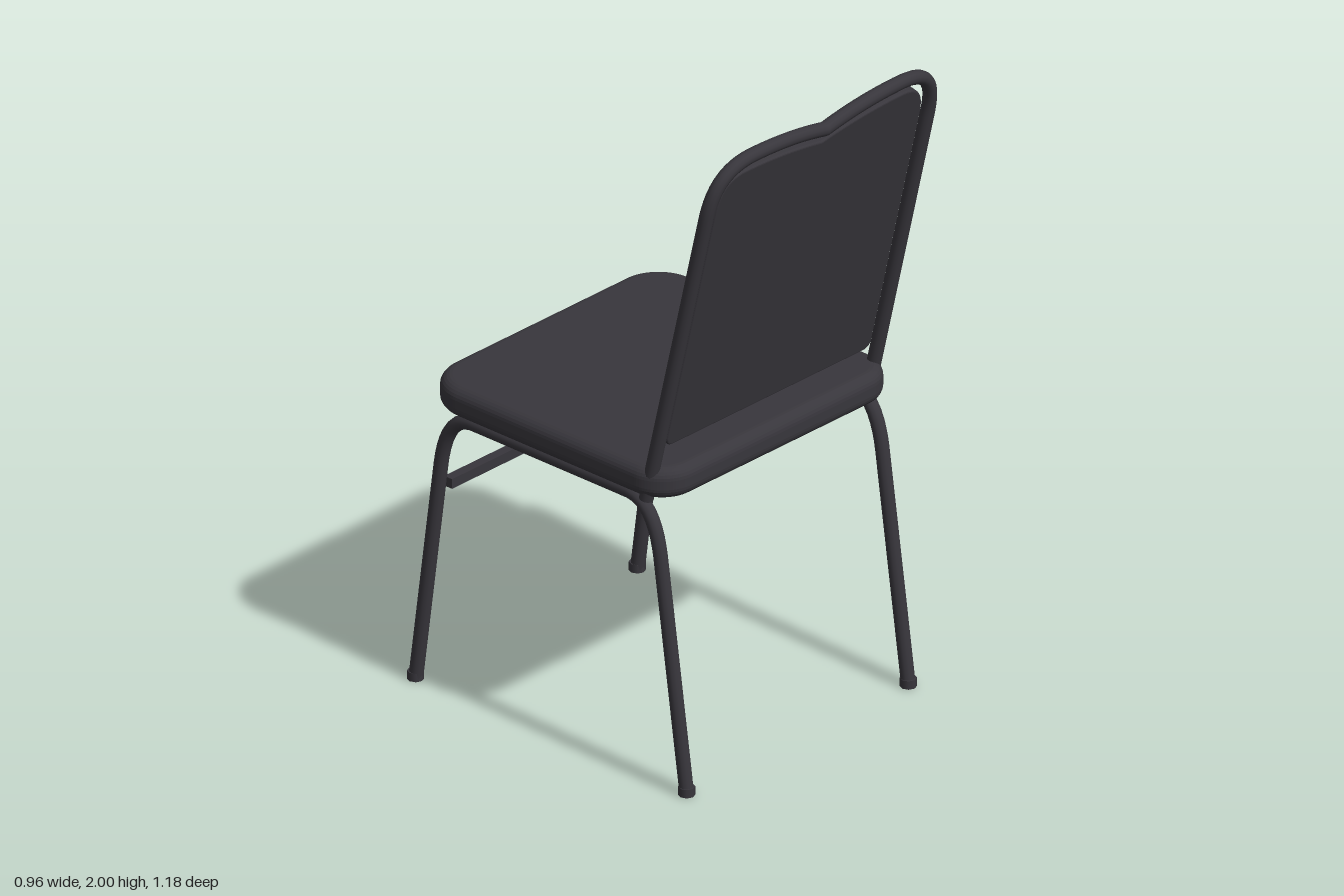
import * as THREE from 'three';

const charcoal = new THREE.MeshStandardMaterial({ color: 0x38363c });
charcoal.name = 'charcoal';

const RADIUS = 0.021;
const v = (x, y, z) => new THREE.Vector3(x, y, z);

function add(parent, name, geometry) {
  const mesh = new THREE.Mesh(geometry, charcoal);
  mesh.name = name;
  parent.add(mesh);
  return mesh;
}

// Tube through straight runs joined by rounded bends
function pipe(curves, segments) {
  const path = new THREE.CurvePath();
  curves.forEach((c) => path.add(c));
  return new THREE.TubeGeometry(path, segments, RADIUS, 12);
}
const line = (a, b) => new THREE.LineCurve3(a, b);
const bend = (a, b, c) => new THREE.QuadraticBezierCurve3(a, b, c);

// Seat outline, drawn in x and -z, larger corners at the front
function seatShape(w, front, back, rf, rb) {
  const s = new THREE.Shape();
  s.moveTo(-w + rb, -back);
  s.lineTo(w - rb, -back);
  s.absarc(w - rb, -back + rb, rb, -Math.PI / 2, 0);
  s.lineTo(w, front - rf);
  s.absarc(w - rf, front - rf, rf, 0, Math.PI / 2);
  s.lineTo(-w + rf, front);
  s.absarc(-w + rf, front - rf, rf, Math.PI / 2, Math.PI);
  s.lineTo(-w, -back + rb);
  s.absarc(-w + rb, -back + rb, rb, Math.PI, Math.PI * 1.5);
  return s;
}

// Back panel outline with a shallow dip in the middle of its top edge
function panelShape(w, bottom, top, dip) {
  const s = new THREE.Shape();
  const r = 0.025;
  s.moveTo(-w + r, bottom);
  s.lineTo(w - r, bottom);
  s.quadraticCurveTo(w, bottom, w, bottom + r);
  s.lineTo(w, top - 0.1);
  s.quadraticCurveTo(w, top, w - 0.09, top);
  s.quadraticCurveTo(0.16, top, 0, dip);
  s.quadraticCurveTo(-0.16, top, -w + 0.09, top);
  s.quadraticCurveTo(-w, top, -w, top - 0.1);
  s.lineTo(-w, bottom + r);
  s.quadraticCurveTo(-w, bottom, -w + r, bottom);
  return s;
}

export function createModel() {
  const chair = new THREE.Group();
  chair.name = 'chair';

  // Seat cushion
  const bevel = 0.035;
  const seat = new THREE.ExtrudeGeometry(seatShape(0.48 - bevel, 0.522 - bevel, 0.405 - bevel, 0.1, 0.08), {
    depth: 0.026, bevelSize: bevel, bevelThickness: bevel, bevelSegments: 6, curveSegments: 10,
  });
  seat.rotateX(-Math.PI / 2);
  seat.translate(0, 0.88 + bevel, 0);
  add(chair, 'seatCushion', seat);

  // Side frames: rear leg, seat rail and front leg in one bent tube
  for (const side of [1, -1]) {
    const x = side * 0.45;
    const name = side > 0 ? 'left' : 'right';
    add(chair, name + 'LegFrame', pipe([
      line(v(x, 0.005, 0.463), v(x, 0.7, 0.365)),
      bend(v(x, 0.7, 0.365), v(x, 0.872, 0.341), v(x, 0.872, 0.24)),
      line(v(x, 0.872, 0.24), v(x, 0.872, -0.345)),
      bend(v(x, 0.872, -0.345), v(x, 0.872, -0.447), v(x, 0.7, -0.47)),
      line(v(x, 0.7, -0.47), v(x, 0.005, -0.565)),
    ], 90));
    for (const z of [0.463, -0.566]) {
      add(chair, name + (z > 0 ? 'Rear' : 'Front') + 'Foot',
        new THREE.CylinderGeometry(0.024, 0.024, 0.026, 8)).position.set(x, 0.013, z);
    }
  }

  // Cross bars under the seat and between the front legs
  for (const z of [-0.36, 0.27]) {
    add(chair, 'underSeatBar', new THREE.BoxGeometry(0.88, 0.028, 0.028)).position.set(0, 0.867, z);
  }
  add(chair, 'frontStretcher', new THREE.BoxGeometry(0.88, 0.03, 0.03)).position.set(0, 0.648, -0.452);

  // Leaning back: hoop and panel
  const back = new THREE.Group();
  back.name = 'backrest';
  back.position.set(0, 0.88, 0.312);
  back.rotation.x = 0.234;
  chair.add(back);

  const half = (s) => [
    line(v(s * 0.45, -0.01, 0), v(s * 0.45, 0.965, 0)),
    bend(v(s * 0.45, 0.965, 0), v(s * 0.45, 1.045, 0), v(s * 0.417, 1.085, 0)),
    bend(v(s * 0.417, 1.085, 0), v(s * 0.38, 1.13, 0), v(s * 0.3, 1.13, 0)),
    bend(v(s * 0.3, 1.13, 0), v(s * 0.14, 1.13, 0), v(0, 1.093, 0)),
  ];
  const flip = (c) => c.isLineCurve3 ? line(c.v2, c.v1) : bend(c.v2, c.v1, c.v0);
  add(back, 'backHoop', pipe([...half(-1), ...half(1).reverse().map(flip)], 140));

  const b = 0.006;
  const panel = new THREE.ExtrudeGeometry(panelShape(0.415 - b, 0.154 + b, 1.083 - b, 1.05 - b), {
    depth: 0.03, bevelSize: b, bevelThickness: b, bevelSegments: 3, curveSegments: 12,
  });
  panel.translate(0, 0, -0.039 + b);
  add(back, 'backPanel', panel);

  return chair;
}
